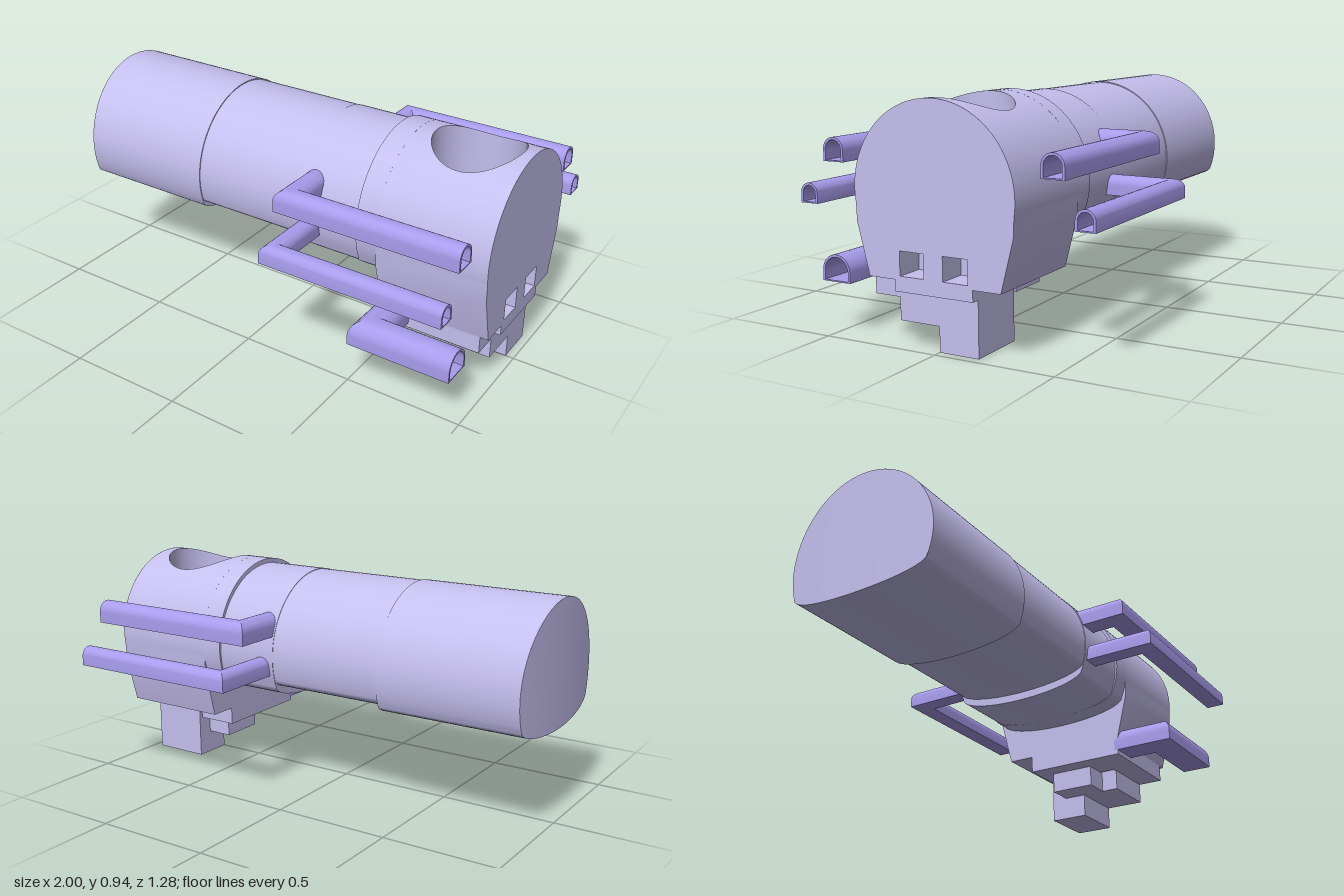
import * as THREE from 'three';
import { toCreasedNormals } from 'three/addons/utils/BufferGeometryUtils.js';

const hullMat = new THREE.MeshStandardMaterial({ color: 0xc5bfee, side: THREE.DoubleSide });
const pipeMat = new THREE.MeshStandardMaterial({ color: 0xa89cec, side: THREE.DoubleSide });

// Surface through a list of equally long point rows
function skin(rows, closed = false) {
  const n = rows[0].length, index = [];
  for (let r = 0; r < rows.length - 1; r++) {
    for (let i = 0; i < (closed ? n : n - 1); i++) {
      const j = (i + 1) % n, a = r * n + i, b = r * n + j;
      index.push(a, b, a + n, b, b + n, a + n);
    }
  }
  const g = new THREE.BufferGeometry();
  g.setAttribute('position', new THREE.Float32BufferAttribute(rows.flat(2), 3));
  g.setIndex(index);
  return toCreasedNormals(g, 0.5);
}

// Cross-sections are lists of [z, y]; these place them along x
const at = (pts, x) => pts.map(([z, y]) => [x, y, z]);
const toShape = (pts) => new THREE.Shape(pts.map(([z, y]) => new THREE.Vector2(-z, y)));
const face = (shape, x) => new THREE.ShapeGeometry(shape).rotateY(Math.PI / 2).translate(x, 0, 0);
function prism(pts, x0, x1) {
  const g = new THREE.ExtrudeGeometry(toShape(pts), { depth: x1 - x0, bevelEnabled: false });
  return toCreasedNormals(g.rotateY(Math.PI / 2).translate(x0, 0, 0), 0.5);
}
function arc(r, yc, a0, a1, n) {
  return Array.from({ length: n + 1 }, (_, i) => {
    const a = a0 + (a1 - a0) * i / n;
    return [r * Math.cos(a), yc + r * Math.sin(a)];
  });
}

// Round barrel with a shallow curved belly reaching down to the given height
const BELLY = 0.07;
function barrel(r, yc, bottom) {
  const y = bottom + BELLY, a = Math.asin((y - yc) / r), half = r * Math.cos(a);
  const pts = arc(r, yc, a, Math.PI - a, 56);
  for (let i = 1; i < 24; i++) {
    const t = Math.PI * i / 24;
    pts.push([-half * Math.cos(t), y - BELLY * Math.sin(t)]);
  }
  return pts;
}

// Hollow D-section pipe leaving the hull sideways and turning forward in a mitre
function pipe(name, { x, z, zIn, w, y0, h, side }) {
  const g = new THREE.Group(), xEnd = 0.965;
  const section = (r, low) => [...arc(r, y0 + h - w / 2, 0, Math.PI, 16), [-r, low], [r, low]];
  const outer = section(w / 2, y0), inner = section(w / 2 - 0.01, y0 + 0.005);
  for (const s of [outer, inner]) {
    g.add(new THREE.Mesh(skin([
      s.map(([u, y]) => [x + u, y, side * zIn]),
      s.map(([u, y]) => [x + u, y, side * (z - u)]),
      s.map(([u, y]) => [xEnd, y, side * (z - u)]),
    ], true), pipeMat));
  }
  const rim = toShape(outer.map(([u, y]) => [side * z + u, y]));
  rim.holes.push(toShape(inner.map(([u, y]) => [side * z + u, y])));
  g.add(new THREE.Mesh(face(rim, xEnd), pipeMat));
  g.name = name;
  return g;
}

export function createModel() {
  const model = new THREE.Group();
  const add = (name, geo, parent = model) => {
    const m = new THREE.Mesh(geo, hullMat);
    m.name = name;
    parent.add(m);
  };
  const box = (name, x0, x1, y0, y1, z0, z1) => add(name,
    new THREE.BoxGeometry(x1 - x0, y1 - y0, z1 - z0)
      .translate((x0 + x1) / 2, (y0 + y1) / 2, (z0 + z1) / 2));

  // Long body in three stepped sections
  const R = 0.34, YC = 0.585, rear = barrel(R, YC, 0.40);
  add('bodyRear', prism(rear, -0.97, -0.36));
  add('bodyMiddle', prism(barrel(0.336, YC, 0.425), -0.36, 0.15));
  add('bodyFront', prism(barrel(0.338, YC, 0.39), 0.15, 0.5));

  // Slightly bowed rear end
  const bow = (z) => -1 + 0.02 * (z / R) ** 2;
  add('rearRim', skin([rear.map(([z, y]) => [bow(z), y, z]), at(rear, -0.97)], true));
  const half = Math.sqrt(R * R - (0.40 + BELLY - YC) ** 2), top = [], low = [];
  for (let i = 0; i <= 48; i++) {
    const z = -R * Math.cos(Math.PI * i / 48), c = Math.sqrt(Math.max(0, R * R - z * z));
    const bottom = Math.abs(z) < half
      ? 0.40 + BELLY - BELLY * Math.sqrt(1 - (z / half) ** 2) : YC - c;
    top.push([bow(z), YC + c, z]);
    low.push([bow(z), bottom, z]);
  }
  add('rearCap', skin([low, top]));

  // Head: collar, flanks and keel
  const HR = 0.347, HY = 0.595, X0 = 0.52, X1 = 1, ZP = 0.26;
  add('collar', prism(barrel(HR, HY, 0.39), 0.43, X0));
  const aTop = Math.acos(ZP / HR);
  const flank = [...arc(HR, HY, aTop, -0.16, 16),
    [0.34, 0.47], [0.287, 0.265], [0.17, 0.265], [0.17, 0.22]];
  const outline = [...flank, ...flank.map(([z, y]) => [-z, y]).reverse()];
  add('headSides', skin([at(outline, X0), at(outline, X1)]));
  const full = [...outline, ...arc(HR, HY, Math.PI - aTop, aTop, 32).slice(1, -1)];
  add('headBack', face(toShape(full), X0));

  // Front face with two square recesses
  const front = toShape(full);
  for (const s of [-1, 1]) {
    const c = s * 0.095, d = 0.053;
    const sq = [[c - d, 0.28], [c + d, 0.28], [c + d, 0.375], [c - d, 0.375]];
    front.holes.push(toShape(sq));
    add('windowWalls', skin([at(sq, 0.88), at(sq, X1)], true));
    add('windowBack', face(toShape(sq), 0.88));
  }
  add('headFront', face(front, X1));

  // Curved roof around a round vertical well
  const HX = 0.77, HOLE = 0.185, edge = [], N = 16;
  const corners = [[X0, -ZP], [X1, -ZP], [X1, ZP], [X0, ZP]];
  corners.forEach(([x, z], k) => {
    const [x2, z2] = corners[(k + 1) % 4];
    for (let i = 0; i < N; i++) edge.push([x + (x2 - x) * i / N, z + (z2 - z) * i / N]);
  });
  const rim = edge.map(([x, z]) => {
    const a = Math.atan2(z, x - HX);
    return [HX + HOLE * Math.cos(a), HOLE * Math.sin(a)];
  });
  const roofY = (z) => HY + Math.sqrt(HR * HR - z * z);
  const roof = [];
  for (let k = 0; k <= 8; k++) {
    roof.push(edge.map(([x, z], i) => {
      const px = rim[i][0] + (x - rim[i][0]) * k / 8, pz = rim[i][1] + (z - rim[i][1]) * k / 8;
      return [px, roofY(pz), pz];
    }));
  }
  const FLOOR = 0.40;
  add('headRoof', skin(roof, true));
  add('wellWall', skin([rim.map(([x, z]) => [x, FLOOR, z]), roof[0]], true));
  add('wellFloor', new THREE.CircleGeometry(HOLE, 48).rotateX(-Math.PI / 2).translate(HX, FLOOR, 0));
  box('wellSeat', 0.68, 0.78, FLOOR - 0.02, FLOOR + 0.03, 0.01, 0.10);
  box('wellConsole', 0.79, 0.84, FLOOR - 0.02, FLOOR + 0.02, 0.02, 0.09);

  // Stepped blocks under the head
  box('underSlab', 0.52, 0.70, 0.19, 0.27, -0.17, 0.287);
  box('sideSlab', 0.70, 0.965, 0.19, 0.27, 0.17, 0.287);
  box('underBlockRear', 0.60, 0.72, 0.10, 0.23, -0.10, 0.10);
  box('underBlock', 0.715, 0.965, 0.10, 0.24, -0.17, 0.175);
  box('foot', 0.715, 0.965, 0, 0.10, -0.17, 0);

  // Side pipes, two mirrored pairs and one single lower pipe
  for (const side of [1, -1]) {
    model.add(pipe('upperPipe', { x: 0.205, z: 0.475, zIn: 0.27, w: 0.094, y0: 0.68, h: 0.094, side }));
    model.add(pipe('middlePipe', { x: 0.21, z: 0.6, zIn: 0.3, w: 0.08, y0: 0.51, h: 0.08, side }));
  }
  model.add(pipe('lowerPipe', { x: 0.585, z: 0.478, zIn: 0.27, w: 0.132, y0: 0.21, h: 0.108, side: 1 }));
  return model;
}
